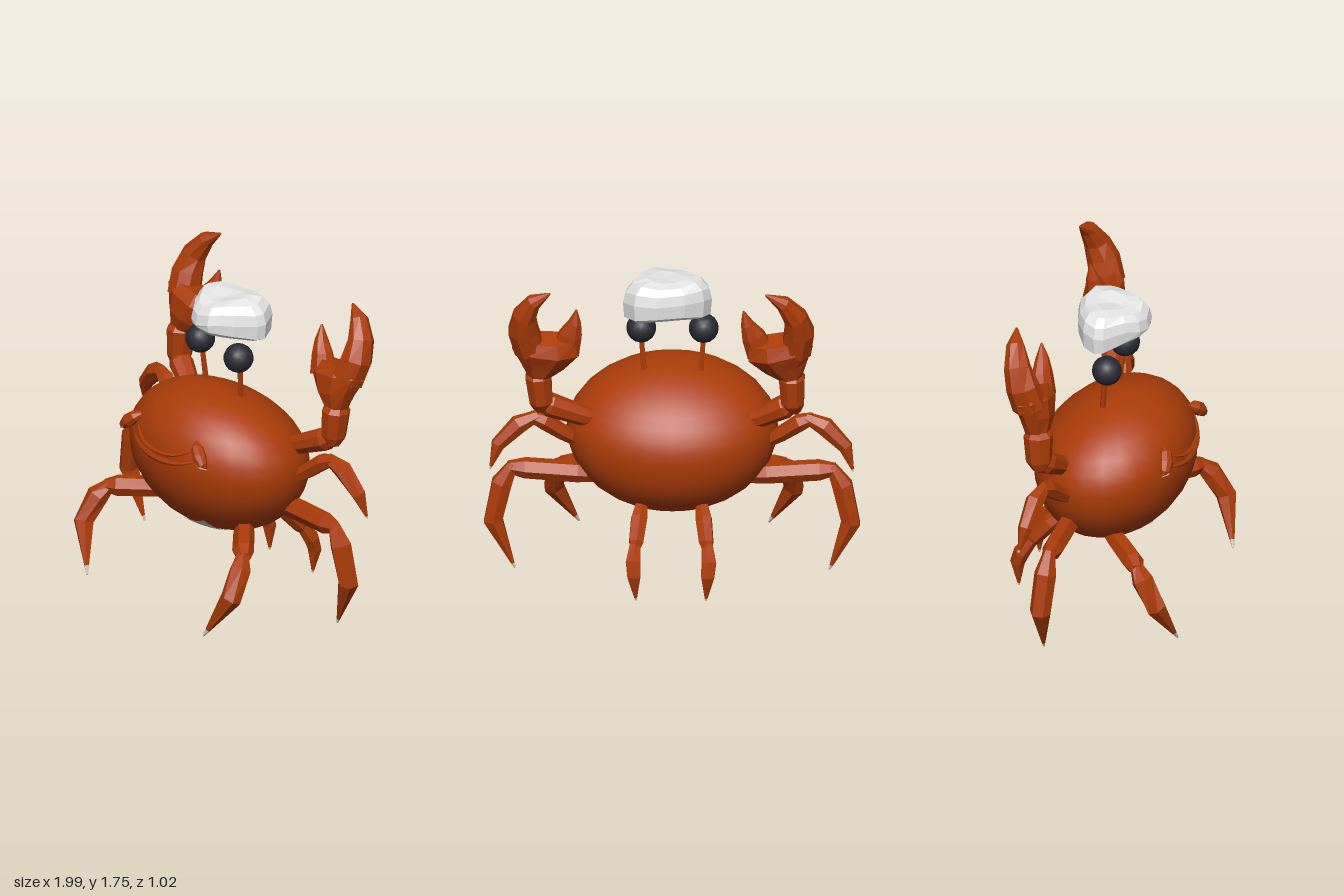
import * as THREE from 'three';
import { mergeVertices } from 'three/addons/utils/BufferGeometryUtils.js';

const mat = (name, color) => Object.assign(new THREE.MeshStandardMaterial({ color }), { name });

export function createModel() {
  const shell = mat('rust shell', 0xac3c08);
  const grey = mat('pale belly', 0xd4c8bc);
  const dark = mat('dark eye', 0x2a2a34);
  const white = mat('off white', 0xf2f2f2);
  const model = new THREE.Group();
  model.name = 'crab';

  const add = (name, geometry, material) => {
    const mesh = new THREE.Mesh(geometry, material);
    mesh.name = name;
    model.add(mesh);
    return mesh;
  };

  // Joins rings of points into a closed, faceted skin
  function skin(rings, start, end) {
    const n = rings[0].length, pos = [];
    const tri = (...pts) => pts.forEach(p => pos.push(p.x, p.y, p.z));
    for (let j = 0; j < n; j++) {
      const k = (j + 1) % n;
      tri(start, rings[0][k], rings[0][j]);
      for (let i = 0; i < rings.length - 1; i++) {
        const a = rings[i], b = rings[i + 1];
        tri(a[j], a[k], b[k]);
        tri(a[j], b[k], b[j]);
      }
      tri(end, rings.at(-1)[j], rings.at(-1)[k]);
    }
    const g = new THREE.BufferGeometry();
    g.setAttribute('position', new THREE.Float32BufferAttribute(pos, 3));
    g.computeVertexNormals();
    return g;
  }

  // Limb through stations [x, y, z, half width, half depth]
  function loft(stations, sides = 6) {
    const c = stations.map(s => new THREE.Vector3(s[0], s[1], s[2]));
    const rings = stations.map((s, i) => {
      const t = c[Math.min(i + 1, c.length - 1)].clone().sub(c[Math.max(i - 1, 0)]).normalize();
      const v = new THREE.Vector3(0, 0, 1).addScaledVector(t, -t.z).normalize();
      const u = v.clone().cross(t);
      return Array.from({ length: sides }, (_, j) => {
        const a = (j + 0.5) / sides * Math.PI * 2;
        return c[i].clone().addScaledVector(u, Math.cos(a) * s[3])
          .addScaledVector(v, Math.sin(a) * (s[4] ?? s[3]));
      });
    });
    return skin(rings, c[0], c.at(-1));
  }

  // Body: egg with a shallower top half whose brow rises toward the front
  const RX = 0.56, FRONT = 0.435, BACK = 0.41, TOP = 0.36, LOW = 0.44, CY = 0.805, TILT = 0.09;
  const lean = (h, z) => TILT * z * (1 + Math.max(0, h));
  let bodyGeo = new THREE.SphereGeometry(1, 28, 18);
  bodyGeo.deleteAttribute('uv');
  bodyGeo.deleteAttribute('normal');
  bodyGeo = mergeVertices(bodyGeo, 1e-4);
  const bp = bodyGeo.attributes.position;
  for (let i = 0; i < bp.count; i++) {
    const z = bp.getZ(i) * (bp.getZ(i) > 0 ? FRONT : BACK), h = bp.getY(i);
    bp.setXYZ(i, bp.getX(i) * RX, CY + h * (h > 0 ? TOP : LOW) + lean(h, z), z);
  }
  bodyGeo.computeVertexNormals();
  add('body', bodyGeo, shell);

  // Depth of the front surface at x, y
  const frontZ = (x, y) => {
    let z = 0.3, h = 0;
    for (let i = 0; i < 10; i++) {
      const rise = y - CY - lean(h, z);
      h = rise / (rise > 0 ? TOP : LOW);
      z = FRONT * Math.sqrt(Math.max(0, 1 - (x / RX) ** 2 - h * h));
    }
    return z;
  };

  // Belly patch: thin plate following the underside
  const belly = new THREE.PlaneGeometry(0.4, 0.32, 10, 10).rotateX(Math.PI / 2);
  const pp = belly.attributes.position;
  for (let i = 0; i < pp.count; i++) {
    const z0 = pp.getZ(i);
    const x = pp.getX(i) * (1 - 14 * Math.min(0, z0 + 0.04) ** 2);
    const z = z0 + 0.095 + 0.35 * x * x;
    const y = CY + TILT * z - LOW * Math.sqrt(1 - (x / RX) ** 2 - (z / (z > 0 ? FRONT : BACK)) ** 2) - 0.004;
    pp.setXYZ(i, x, y, z);
  }
  belly.computeVertexNormals();
  add('bellyPatch', belly, grey);

  // Lips: two low curved ridges across the face
  const lip = (name, half, yMid, rise, r) => {
    const stations = [];
    for (let i = 0; i <= 12; i++) {
      const s = i / 6 - 1, x = s * half, y = yMid + rise * Math.abs(s) ** 2.5;
      stations.push([x, y, frontZ(x, y) - 0.003, r * (1.1 - s * s), 0.014 * (1.1 - s * s)]);
    }
    add(name, loft(stations), shell);
  };
  lip('upperLip', 0.26, 0.895, 0.08, 0.01);
  lip('lowerLip', 0.29, 0.855, 0.065, 0.016);

  // Floating pale lump: outline rings stacked from below, sagging at both ends
  const outline = [[-0.21, -0.05], [-0.2, 0], [-0.11, 0.1], [-0.05, 0.16], [0.02, 0.185], [0.11, 0.175],
    [0.16, 0.12], [0.2, 0.06], [0.255, -0.05], [0.26, -0.1], [0.2, -0.19], [0.08, -0.22], [-0.07, -0.18], [-0.17, -0.12]];
  const lumpPoint = (k, y, [ox, oz]) => {
    const x = 0.03 + (ox - 0.03) * k, z = -0.02 + (oz + 0.02) * k;
    const bend = y < 1.54 ? 0.07 * z + 0.018 - 0.9 * (x - 0.03) ** 2
      : -0.04 * z + 0.014 * k * Math.cos((x - 0.14) * 24);
    return new THREE.Vector3(x, y + bend, z);
  };
  const lumpRings = [[0.5, 1.52], [0.84, 1.495], [0.97, 1.52], [1, 1.58], [0.94, 1.635], [0.78, 1.672], [0.45, 1.685]]
    .map(([k, y]) => outline.map(p => lumpPoint(k, y, p)));
  add('paleLump', skin(lumpRings, new THREE.Vector3(0.03, 1.545, -0.02),
    new THREE.Vector3(0.03, 1.675, -0.02)), white);

  // Legs: thigh and shin stations for the left side
  const legs = {
    upperLeg: [
      [[0.47, 0.75, -0.09, 0.035], [0.58, 0.83, -0.13, 0.043], [0.68, 0.91, -0.16, 0.048], [0.75, 0.94, -0.17, 0.03]],
      [[0.71, 0.94, -0.165, 0.03], [0.81, 0.9, -0.19, 0.052], [0.92, 0.79, -0.21, 0.04], [0.96, 0.66, -0.235, 0.005]]],
    middleLeg: [
      [[0.38, 0.575, -0.1, 0.045], [0.5, 0.59, -0.11, 0.058], [0.78, 0.605, -0.1, 0.057], [0.86, 0.61, -0.1, 0.035]],
      [[0.84, 0.63, -0.1, 0.03], [0.9, 0.52, -0.105, 0.06], [0.945, 0.31, -0.12, 0.057], [0.83, 0.04, -0.135, 0.005]]],
    frontLeg: [
      [[0.28, 0.48, 0.05, 0.04], [0.38, 0.475, 0.14, 0.056], [0.54, 0.46, 0.27, 0.058], [0.6, 0.45, 0.31, 0.035]],
      [[0.57, 0.47, 0.29, 0.03], [0.615, 0.4, 0.345, 0.06], [0.635, 0.26, 0.425, 0.057], [0.5, 0.02, 0.505, 0.005]]],
    backLeg: [
      [[0.16, 0.46, -0.24, 0.035], [0.17, 0.41, -0.3, 0.048], [0.185, 0.31, -0.385, 0.043], [0.19, 0.27, -0.41, 0.025]],
      [[0.19, 0.31, -0.385, 0.03], [0.2, 0.22, -0.45, 0.045], [0.195, 0.15, -0.475, 0.04], [0.185, 0.01, -0.47, 0.005]]]
  };

  // Arm and claw stations for the left side
  const claw = {
    upperArm: [[0.38, 0.91, -0.13, 0.045], [0.47, 0.94, -0.16, 0.055], [0.6, 1.02, -0.2, 0.066], [0.65, 1.05, -0.21, 0.04]],
    forearm: [[0.645, 1.0, -0.21, 0.04], [0.64, 1.05, -0.22, 0.065, 0.07], [0.635, 1.2, -0.225, 0.074, 0.08], [0.635, 1.24, -0.23, 0.05]],
    palm: [[0.64, 1.2, -0.23, 0.055, 0.06], [0.605, 1.29, -0.24, 0.13, 0.088], [0.575, 1.38, -0.265, 0.19, 0.105], [0.565, 1.44, -0.28, 0.17, 0.07]],
    bigFinger: [[0.66, 1.38, -0.265, 0.085, 0.095], [0.675, 1.5, -0.3, 0.085, 0.09], [0.655, 1.6, -0.335, 0.066, 0.073], [0.59, 1.695, -0.365, 0.043, 0.05], [0.5, 1.75, -0.385, 0.006]],
    smallFinger: [[0.47, 1.36, -0.25, 0.08, 0.07], [0.43, 1.46, -0.265, 0.065, 0.055], [0.4, 1.53, -0.275, 0.037, 0.037], [0.38, 1.61, -0.285, 0.005]]
  };

  for (const [side, s] of [['left', 1], ['right', -1]]) {
    const mirror = stations => stations.map(([x, ...rest]) => [x * s, ...rest]);

    for (const [name, [thigh, shin]] of Object.entries(legs)) {
      add(`${side} ${name} thigh`, loft(mirror(thigh)), shell);
      // Shin stops short and a small pale tip finishes it
      const [knee, end] = shin.slice(-2);
      const cut = knee.map((v, i) => v + (end[i] - v) * (name === 'frontLeg' ? 0.83 : 0.9));
      add(`${side} ${name} shin`, loft(mirror([...shin.slice(0, -1), cut])), shell);
      add(`${side} ${name} tip`, loft(mirror([cut, end])), grey);
    }

    // The left claw is held a little wider than the right
    for (const [name, stations] of Object.entries(claw)) {
      const posed = stations.map(([x, y, ...rest]) =>
        [x + (s > 0 && y > 0.96 ? 0.05 + 0.13 * (y - 1.05) : 0), y, ...rest]);
      add(`${side} ${name}`, loft(mirror(posed), 8), shell);
    }

    // Eye on its stalk
    add(`${side} eyeStalk`, loft(mirror([[0.148, 1.1, -0.02, 0.017], [0.165, 1.34, 0, 0.014]])), shell);
    const eye = add(`${side} eye`, new THREE.IcosahedronGeometry(0.08, 2), dark);
    eye.position.set(0.165 * s, 1.375, 0.01);

    // Cheek bump at the corner of the mouth, with a pale fleck
    add(`${side} cheek`, loft(mirror([[0.235, 1.005, 0.345, 0.012], [0.265, 0.985, 0.365, 0.033],
      [0.305, 0.95, 0.38, 0.038], [0.34, 0.915, 0.385, 0.026], [0.355, 0.895, 0.375, 0.006]]), 8), shell);
    add(`${side} cheekFleck`, loft(mirror([[0.32, 0.915, 0.407, 0.003], [0.34, 0.908, 0.403, 0.01, 0.008],
      [0.36, 0.895, 0.375, 0.003]])), grey);
  }
  return model;
}
